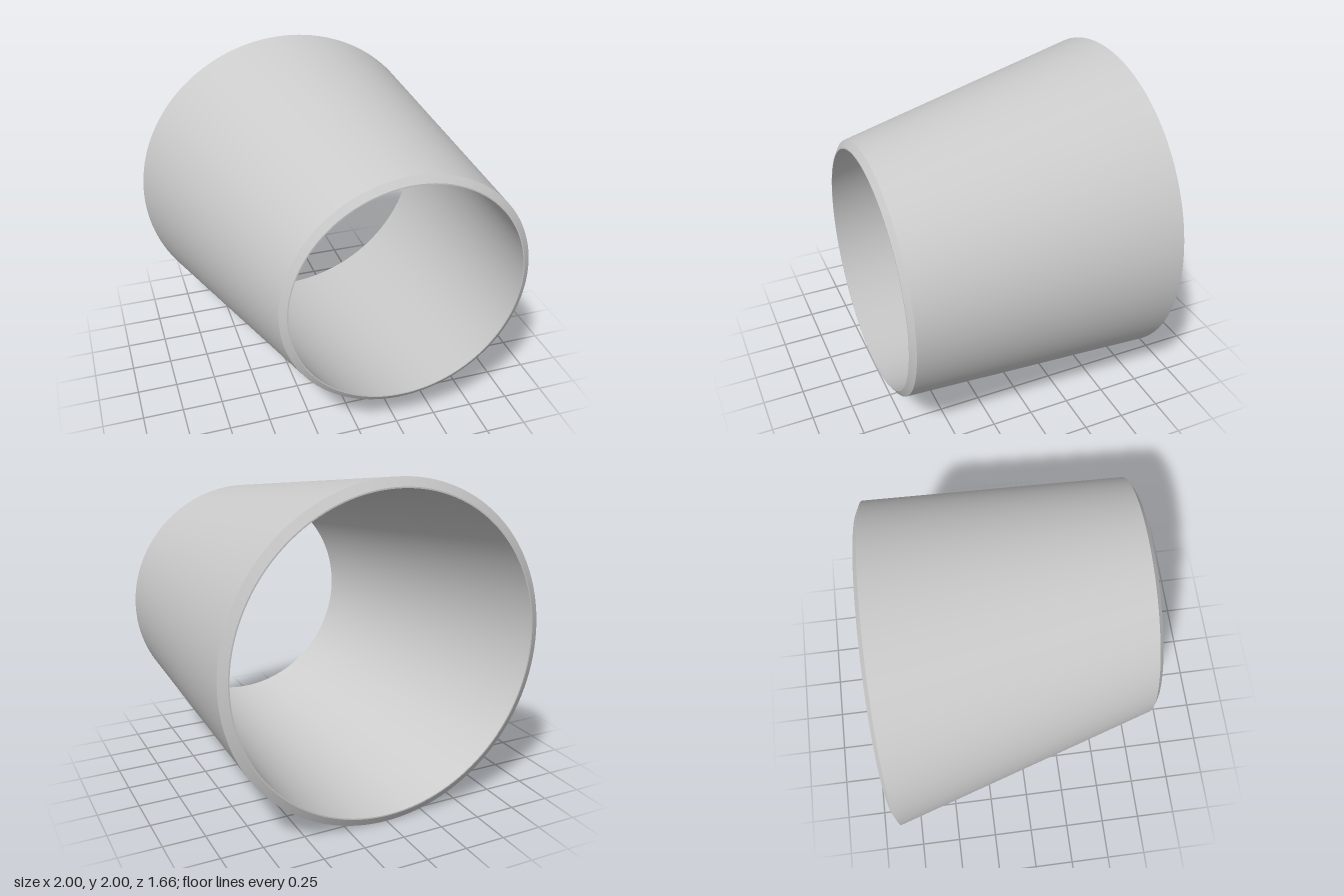
import * as THREE from 'three';
import { toCreasedNormals } from 'three/addons/utils/BufferGeometryUtils.js';

const SEGMENTS = 128;

// Skins a closed loop of circular sections, each [centre x, radius, z]
function loftRings(rings) {
  const positions = [];
  const indices = [];
  for (const [cx, r, z] of rings) {
    for (let j = 0; j < SEGMENTS; j++) {
      const a = (j / SEGMENTS) * Math.PI * 2;
      positions.push(cx + r * Math.cos(a), 1 + r * Math.sin(a), z);
    }
  }
  for (let i = 0; i < rings.length; i++) {
    const near = i * SEGMENTS;
    const far = ((i + 1) % rings.length) * SEGMENTS;
    for (let j = 0; j < SEGMENTS; j++) {
      const k = (j + 1) % SEGMENTS;
      indices.push(near + j, near + k, far + k, near + j, far + k, far + j);
    }
  }
  const geometry = new THREE.BufferGeometry();
  geometry.setAttribute('position', new THREE.Float32BufferAttribute(positions, 3));
  geometry.setIndex(indices);
  return toCreasedNormals(geometry, 0.3);
}

export function createModel() {
  const group = new THREE.Group();
  group.name = 'eccentricReducer';

  const offset = 0.25; // the small end is shifted so one side stays straight
  const geometry = loftRings([
    [0, 1, -0.803],           // outer wall, large end
    [offset, 0.749, 0.803],   // outer wall, small end
    [offset, 0.709, 0.83],    // small end bevel
    [offset, 0.702, 0.83],    // small end narrow face
    [0, 0.942, -0.83],        // bore, large end
    [0, 0.95, -0.83],         // large end narrow face, closing with its bevel
  ]);

  const material = new THREE.MeshStandardMaterial({ color: 0xcccccc });
  const pipe = new THREE.Mesh(geometry, material);
  pipe.name = 'reducerPipe';
  group.add(pipe);
  return group;
}
